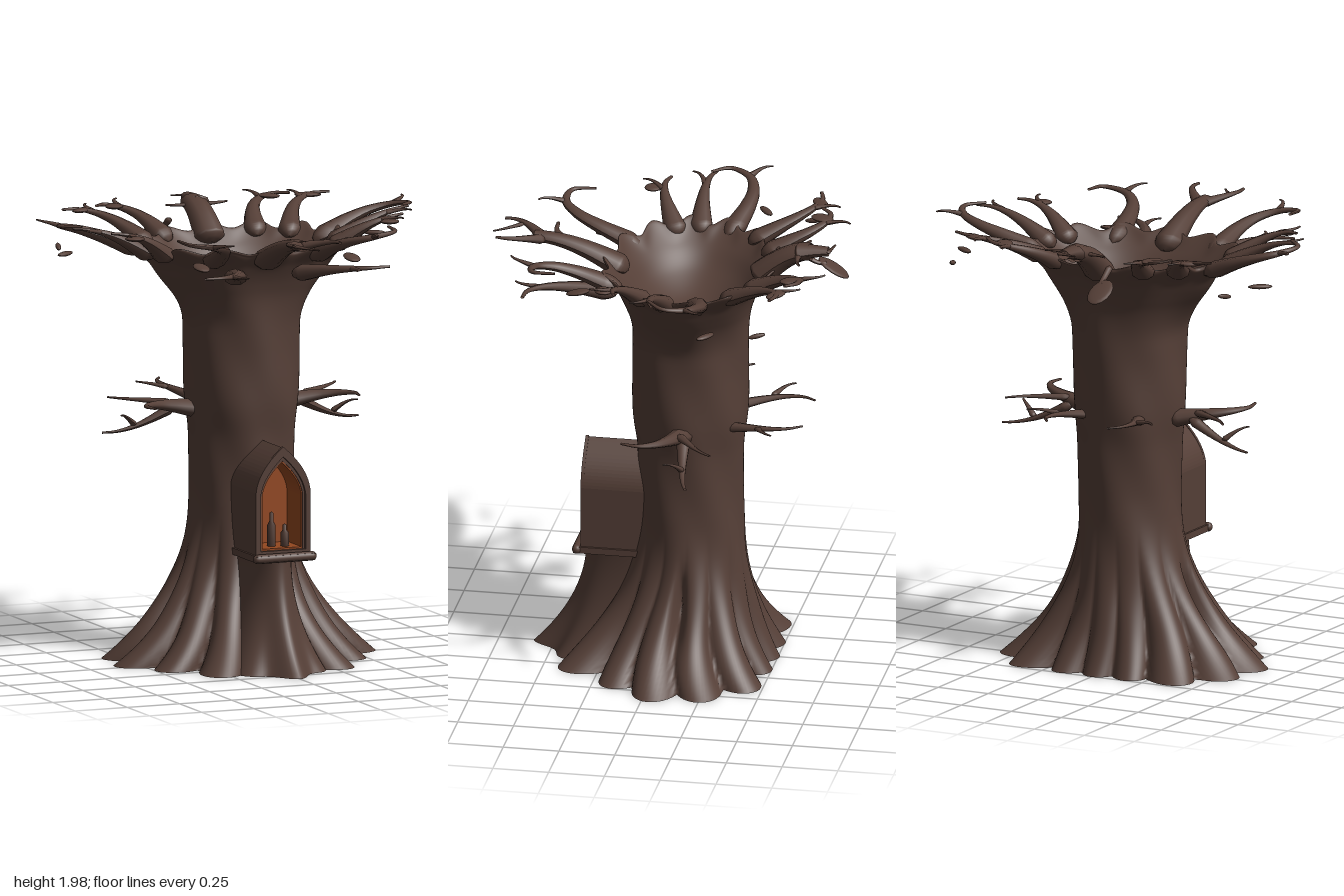
import * as THREE from 'three';
import { mergeVertices } from 'three/addons/utils/BufferGeometryUtils.js';

const rad = THREE.MathUtils.degToRad;
const mat = (name, color) => {
  const m = new THREE.MeshStandardMaterial({ color, side: THREE.DoubleSide });
  m.name = name;
  return m;
};

// Grid whose points are placed by a rule f(u, v) -> [x, y, z]
function sheet(nu, nv, f) {
  const g = new THREE.PlaneGeometry(1, 1, nu, nv);
  const p = g.attributes.position;
  for (let i = 0; i < p.count; i++) p.setXYZ(i, ...f(p.getX(i) + 0.5, p.getY(i) + 0.5));
  g.deleteAttribute('uv');
  g.deleteAttribute('normal');
  const m = mergeVertices(g, 1e-5);
  m.computeVertexNormals();
  return m;
}

// Tapered tube with a rounded start along a smooth path, slightly flattened in y
function limb(points, r0, r1) {
  const curve = new THREE.CatmullRomCurve3(points);
  const seg = 40, sides = 9;
  const g = new THREE.TubeGeometry(curve, seg, 1, sides);
  const p = g.attributes.position, v = new THREE.Vector3();
  for (let i = 0; i < p.count; i++) {
    const t = Math.floor(i / (sides + 1)) / seg;
    const c = curve.getPointAt(t);
    const r = (r1 + (r0 - r1) * Math.pow(1 - t, 1.4)) * Math.sqrt(Math.min(1, t / 0.12 + 0.001));
    v.fromBufferAttribute(p, i).sub(c).multiplyScalar(r);
    p.setXYZ(i, c.x + v.x, c.y + v.y * 0.7, c.z + v.z);
  }
  g.computeVertexNormals();
  return g;
}

// Path that leaves (x, y, z) on a heading (degrees from front), rises to yEnd and curls near its end
function growth(x, y, z, heading, length, curl, yEnd) {
  const points = [], n = 6;
  for (let i = 0; i <= n; i++) {
    points.push(new THREE.Vector3(x, y + (yEnd - y) * Math.sin((i / n) * Math.PI / 2), z));
    const h = rad(heading + curl * Math.pow((i + 0.5) / n, 3));
    x += Math.sin(h) * length / n;
    z += Math.cos(h) * length / n;
  }
  return points;
}

// Pointed arch outline
function arch(Type, w, y0, spring, apex) {
  const s = new Type();
  const mid = (spring + apex) / 2;
  s.moveTo(-w, y0);
  s.lineTo(w, y0);
  s.lineTo(w, spring);
  s.quadraticCurveTo(w * 0.92, mid, 0, apex);
  s.quadraticCurveTo(-w * 0.92, mid, -w, spring);
  s.closePath();
  return s;
}

export function createModel() {
  const group = new THREE.Group();
  const bark = mat('bark', 0x553f37);
  const glow = mat('nicheGlow', 0x944820);
  const add = (name, geo, m = bark, parent = group) => {
    const mesh = new THREE.Mesh(geo, m);
    mesh.name = name;
    parent.add(mesh);
    return mesh;
  };

  // Trunk with flared roots and a hollow bowl on top: profile of radius, height
  const profile = new THREE.SplineCurve([
    [0.22, 0.01], [0.22, 0.15], [0.225, 0.3], [0.232, 0.6], [0.228, 0.8], [0.235, 1.0], [0.252, 1.17],
    [0.252, 1.4], [0.262, 1.6], [0.285, 1.7], [0.325, 1.79], [0.375, 1.87],
    [0.365, 1.88], [0.3, 1.8], [0.22, 1.71], [0.11, 1.64], [0.0005, 1.62],
  ].map(([r, y]) => new THREE.Vector2(r, y)));
  // Roots: angle from front in degrees, reach
  const roots = [[31, 0.41], [59, 0.37], [82, 0.42], [105, 0.4], [129, 0.35], [154, 0.21], [180, 0.18]];
  const reach = (a) => {
    let best = 0.1;
    for (const [angle, length] of roots) {
      const d = (Math.abs(THREE.MathUtils.radToDeg(a)) - angle) / 17;
      if (Math.abs(d) < 1) best = Math.max(best, length * Math.sqrt(1 - d * d));
    }
    return best;
  };
  add('trunk', sheet(220, 120, (u, v) => {
    const a = (u - 0.5) * Math.PI * 2;
    const p = profile.getPoint(v), y = p.y;
    const low = Math.max(0, 1 - y / 0.7);
    const outer = v < 0.7;
    let r = p.x + reach(a + 0.12 * Math.sin(y * 7) * low * Math.sin(a)) * Math.pow(low, 2.05);
    // Uneven bark and side hollows
    if (outer) r += 0.007 * Math.sin(4 * a + 5 * y) * Math.sin(6 * y + 2 * a);
    const da = Math.abs(a) - Math.PI / 2, dy = (y - 0.31) / 0.13;
    r -= 0.07 * Math.exp(-(da * da) / 0.006 - dy * dy);
    // Wider crown with a lightly scalloped rim
    const wide = outer ? 0.3 * THREE.MathUtils.smoothstep(y, 1.5, 1.75) : 0.3;
    const edge = THREE.MathUtils.smoothstep(y, 1.76, 1.88);
    const wave = Math.cos(14 * a);
    r *= 1 + 0.05 * edge * wave;
    const shift = 0.018 * THREE.MathUtils.smoothstep(y, 0.2, 0.8);
    return [r * Math.sin(a) * (1 + wide) + shift, y - 0.014 * edge * (1 - wave), r * Math.cos(a) - 0.112];
  }));

  // Front root carrying the niche
  add('frontRoot', sheet(60, 24, (u, v) => {
    const a = (u - 0.5) * Math.PI, k = (1 - v) * (1 - v);
    const ripple = 1 + 0.06 * k * Math.cos(8 * a);
    return [0.015 * v + (0.125 + 0.14 * k) * Math.sin(a) * ripple, 0.01 + v * 0.5, (0.355 + 0.205 * k) * Math.cos(a) * ripple];
  }));

  // Niche: arched housing, front moulding, lining, sill and candles
  const niche = new THREE.Group();
  niche.name = 'niche';
  niche.position.x = 0.02;
  group.add(niche);
  const ring = (outer, inner, depth, z) => {
    const s = arch(THREE.Shape, ...outer);
    s.holes.push(arch(THREE.Path, ...inner));
    return new THREE.ExtrudeGeometry(s, { depth, bevelEnabled: false, curveSegments: 14 }).translate(0, 0, z);
  };
  const opening = [0.098, 0.548, 0.79, 0.945];
  add('nicheHousing', ring([0.13, 0.5, 0.81, 1.005], opening, 0.305, 0.04), bark, niche);
  add('nicheMoulding', ring([0.13, 0.5, 0.81, 1.01], [0.108, 0.548, 0.79, 0.965], 0.014, 0.344), bark, niche);
  add('nicheLining', ring(opening, [0.093, 0.556, 0.788, 0.937], 0.165, 0.175), glow, niche);
  add('nicheBack', new THREE.ShapeGeometry(arch(THREE.Shape, ...opening), 14).translate(0, 0, 0.18), glow, niche);
  add('sill', new THREE.BoxGeometry(0.28, 0.03, 0.29).translate(0, 0.517, 0.245), bark, niche);
  add('sillLip', new THREE.CapsuleGeometry(0.021, 0.26, 6, 12).rotateZ(Math.PI / 2).translate(0, 0.518, 0.375), bark, niche);
  const candle = [[0, 0], [0.019, 0], [0.019, 0.6], [0.009, 0.72], [0.009, 0.95], [0, 1]];
  for (const [x, h, z] of [[-0.02, 0.155, 0.27], [0.035, 0.1, 0.29]]) {
    const outline = candle.map(([r, t]) => new THREE.Vector2(r, t * h));
    add('candle', new THREE.LatheGeometry(outline, 14).translate(x, 0.555, z), bark, niche);
  }

  // Crown branches around the rim: angle on rim, heading, length, curl, start and end height
  const crown = [
    [150, 165, 0.44, -150, 1.83, 1.97], [128, 155, 0.46, -100, 1.83, 1.97], [106, 108, 0.6, -195, 1.82, 1.98],
    [84, 82, 0.39, 35, 1.82, 1.97], [66, 60, 0.34, 60, 1.82, 1.97],
    [36, 5, 0.62, 215, 1.81, 1.97], [20, 18, 0.52, 85, 1.75, 1.82],
  ];
  for (const s of [1, -1]) {
    for (const [angle, heading, length, curl, y, yEnd] of crown) {
      const x = 0.42 * Math.sin(rad(angle)), z = 0.32 * Math.cos(rad(angle)) - 0.11;
      const path = growth(x * s, y, z, heading * s, length, curl * s, yEnd);
      add('crownBranch', limb(path, 0.062, 0.008));
      // A twig forks off, bending away from the branch's curl
      const p = path[4], bend = -Math.sign(curl) * s;
      add('crownTwig', limb(growth(p.x, p.y, p.z, heading * s + bend * 15, 0.13, bend * 60, yEnd), 0.018, 0.005));
    }

    // Lower branches at mid height
    add('sideBranch', limb(growth(0.17 * s, 1.12, -0.13, 78 * s, 0.46, -110 * s, 1.175), 0.068, 0.007));
    add('sideTwig', limb(growth(0.31 * s, 1.16, -0.11, 122 * s, 0.3, 25 * s, 1.17), 0.026, 0.006));
    add('droopingTwig', limb(growth(0.29 * s, 1.14, -0.13, 98 * s, 0.33, 15 * s, 1.03), 0.034, 0.007));
    add('droopingTwig', limb(growth(0.47 * s, 1.06, -0.16, 60 * s, 0.12, -30 * s, 1.12), 0.018, 0.005));
    add('backBranch', limb(growth(0.12 * s, 1.14, -0.28, 158 * s, 0.38, 70 * s, 1.18), 0.036, 0.006));
    add('backTwig', limb(growth(0.19 * s, 1.17, -0.44, 115 * s, 0.15, 40 * s, 1.19), 0.018, 0.005));

    // Forked tip of the front branch and crossbar of the back branch
    add('frontFork', limb(growth(0.02, 1.93, 0.54, 45 * s, 0.24, -65 * s, 1.97), 0.034, 0.008));
    add('backCrossbar', limb(growth(0.02, 1.95, -0.6, 92 * s, 0.15, 30 * s, 1.95), 0.02, 0.006));
  }

  // Branches on the centre line
  add('frontBranch', limb(growth(0, 1.8, 0.17, 2, 0.42, 0, 1.94), 0.075, 0.035));
  add('frontTwig', limb(growth(-0.07, 1.96, 0.65, 35, 0.15, 0, 1.95), 0.014, 0.005));
  add('backBranch', limb(growth(0, 1.81, -0.4, 178, 0.25, 0, 1.955), 0.075, 0.055));
  add('backTip', limb(growth(0.02, 1.95, -0.58, 180, 0.15, 0, 1.965), 0.06, 0.03));
  add('backTwig', limb(growth(0.05, 1.97, -0.73, -100, 0.1, 0, 1.97), 0.012, 0.005));
  add('hangingTwig', limb(growth(-0.13, 1.9, -0.57, 180, 0.12, 30, 1.84), 0.018, 0.012));

  // Thin curled bark flakes
  const flake = (x, y, z, width, length, tilt, turn) => {
    const f = add('barkFlake', new THREE.SphereGeometry(1, 14, 8));
    f.position.set(x, y, z);
    f.scale.set(width, 0.011, length);
    f.rotation.set(tilt, turn, 0);
  };
  flake(-0.16, 1.815, -0.72, 0.055, 0.08, -0.55, 0);
  for (const s of [1, -1]) {
    flake(0.68 * s, 1.815, -0.53, 0.012, 0.04, 0.2, 0.3 * s);
    flake(0.74 * s, 1.82, -0.31, 0.055, 0.018, 0, -0.6 * s);
    flake(0.36 * s, 1.83, 0.33, 0.035, 0.055, 0.2, 0);
    flake(0.37 * s, 1.96, -0.63, 0.04, 0.055, 0, 0.5 * s);
    flake(0.54 * s, 1.96, -0.59, 0.06, 0.03, 0, -0.5 * s);
    flake(0.61 * s, 1.95, 0.17, 0.045, 0.04, 0, 0.4 * s);
  }
  return group;
}
